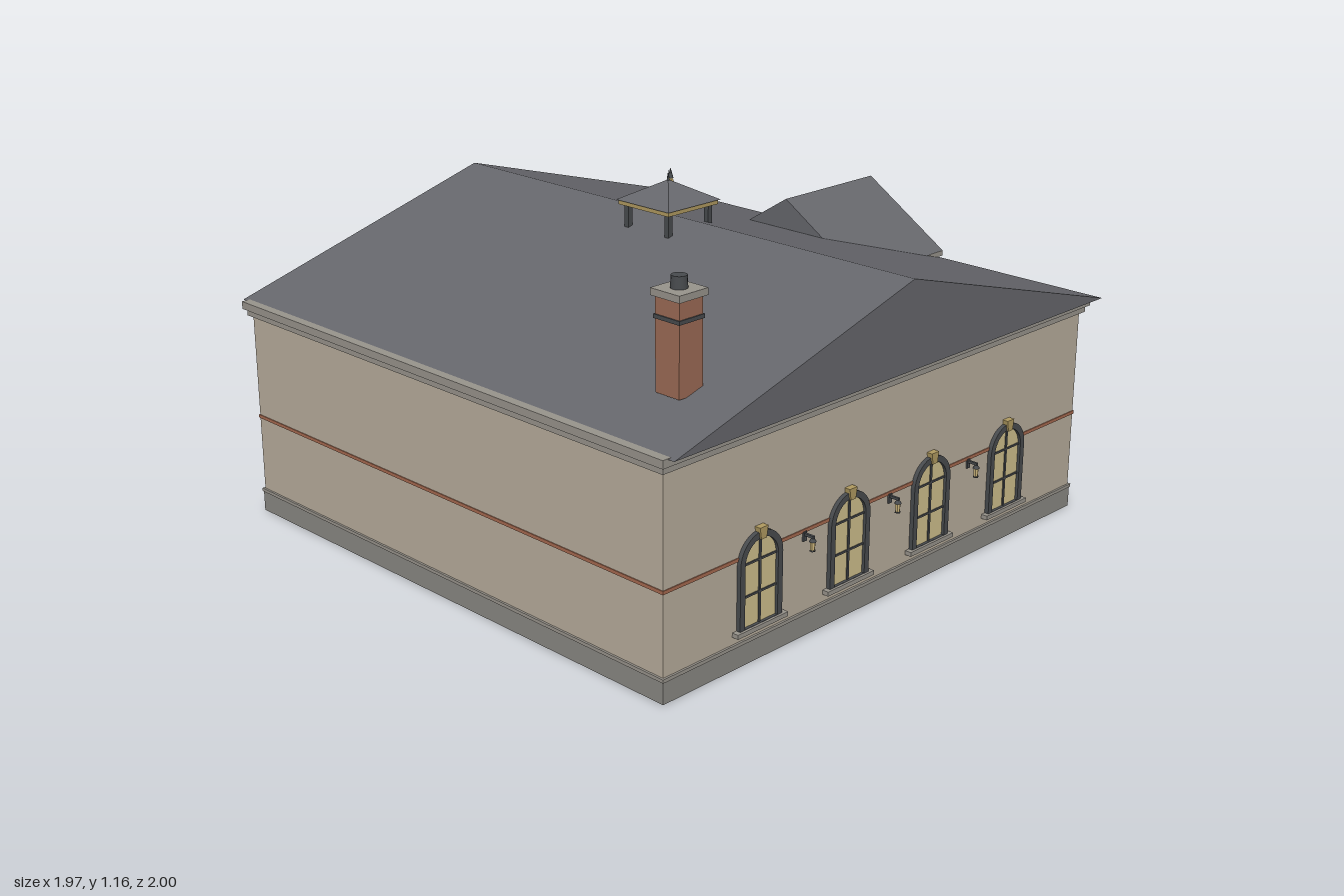
import * as THREE from 'three';

const mat = (color, flat = false) => new THREE.MeshStandardMaterial({ color, flatShading: flat });
const M = {
  wall: mat(0xb8ad9c), plinth: mat(0x8a8883), trim: mat(0x98948c), roof: mat(0x66676c, true),
  frame: mat(0x484b4e), glass: mat(0xcfbf8c), brick: mat(0x9c6b55), band: mat(0xa5694f),
  door: mat(0x4a5878), gold: mat(0xb09a60, true), lamp: mat(0xcdb67c, true),
};

function add(parent, name, geo, material, x = 0, y = 0, z = 0) {
  const m = new THREE.Mesh(geo, material);
  m.name = name;
  m.position.set(x, y, z);
  parent.add(m);
  return m;
}

// Box given by its limits on each axis
function box(parent, name, material, x0, x1, y0, y1, z0, z1) {
  return add(parent, name, new THREE.BoxGeometry(x1 - x0, y1 - y0, z1 - z0), material,
    (x0 + x1) / 2, (y0 + y1) / 2, (z0 + z1) / 2);
}

const extrude = (shape, depth) =>
  new THREE.ExtrudeGeometry(shape, { depth, bevelEnabled: false, curveSegments: 16 });

function polygon(points) {
  return new THREE.Shape(points.map(([x, y]) => new THREE.Vector2(x, y)));
}

// Round-headed outline standing on y0
function archShape(r, y0, spring) {
  const s = new THREE.Shape();
  s.moveTo(-r, y0);
  s.lineTo(r, y0);
  s.lineTo(r, spring);
  s.absarc(0, spring, r, 0, Math.PI, false);
  s.lineTo(-r, y0);
  return s;
}

function rectShape(r, y0, y1) {
  return polygon([[-r, y0], [r, y0], [r, y1], [-r, y1]]);
}

// Fittings are built facing +z with the wall surface at z = 0
function archedWindow() {
  const g = new THREE.Group();
  g.name = 'archedWindow';
  const surround = archShape(0.088, 0.0, 0.2);
  surround.holes.push(archShape(0.068, 0.005, 0.2));
  add(g, 'windowFrame', extrude(surround, 0.014), M.frame);
  add(g, 'glass', extrude(archShape(0.07, 0.0, 0.2), 0.004), M.glass);
  box(g, 'mullion', M.frame, -0.004, 0.004, 0, 0.268, 0, 0.008);
  for (const y of [0.1, 0.2]) box(g, 'glazingBar', M.frame, -0.07, 0.07, y - 0.003, y + 0.003, 0, 0.008);
  box(g, 'sill', M.trim, -0.105, 0.105, -0.01, 0.004, 0, 0.022);
  const key = polygon([[-0.011, 0.266], [0.011, 0.266], [0.017, 0.302], [-0.017, 0.302]]);
  add(g, 'keystone', extrude(key, 0.02), M.gold);
  return g;
}

function squareWindow(half) {
  const g = new THREE.Group();
  g.name = 'squareWindow';
  const surround = rectShape(half, 0, 0.2);
  surround.holes.push(rectShape(half - 0.018, 0.015, 0.185));
  add(g, 'windowFrame', extrude(surround, 0.014), M.frame);
  box(g, 'glass', M.glass, -half + 0.01, half - 0.01, 0.01, 0.19, 0, 0.004);
  box(g, 'mullion', M.frame, -0.004, 0.004, 0, 0.19, 0, 0.008);
  box(g, 'glazingBar', M.frame, -half + 0.01, half - 0.01, 0.127, 0.133, 0, 0.008);
  box(g, 'sill', M.trim, -half - 0.015, half + 0.015, -0.015, 0.002, 0, 0.022);
  box(g, 'windowHead', M.frame, -half - 0.01, half + 0.01, 0.198, 0.215, 0, 0.02);
  return g;
}

function wallLamp() {
  const g = new THREE.Group();
  g.name = 'wallLamp';
  box(g, 'backPlate', M.frame, -0.007, 0.007, 0.02, 0.05, 0, 0.006);
  box(g, 'arm', M.frame, -0.004, 0.004, 0.038, 0.046, 0, 0.038);
  add(g, 'lampCap', new THREE.CylinderGeometry(0.003, 0.012, 0.012, 6), M.frame, 0, 0.034, 0.034);
  add(g, 'lantern', new THREE.CylinderGeometry(0.009, 0.007, 0.026, 6), M.lamp, 0, 0.015, 0.034);
  add(g, 'lampBase', new THREE.CylinderGeometry(0.009, 0.009, 0.004, 6), M.frame, 0, 0, 0.034);
  return g;
}

function entrance() {
  const g = new THREE.Group();
  g.name = 'entrance';
  const surround = rectShape(0.18, 0.015, 0.275);
  surround.holes.push(rectShape(0.157, 0.016, 0.25));
  add(g, 'doorFrame', extrude(surround, 0.02), M.frame);
  box(g, 'doorLeaves', M.door, -0.16, 0.16, 0.015, 0.255, 0, 0.01);
  for (const x of [-0.08, 0, 0.08])
    box(g, 'doorStile', M.frame, x - 0.004, x + 0.004, 0.015, 0.255, 0, 0.014);
  for (const y of [0.09, 0.2]) box(g, 'doorRail', M.frame, -0.16, 0.16, y - 0.003, y + 0.003, 0, 0.014);
  for (const x of [-0.016, 0.016]) box(g, 'doorHandle', M.gold, x - 0.004, x + 0.004, 0.11, 0.15, 0, 0.02);
  box(g, 'doorHead', M.trim, -0.195, 0.195, 0.272, 0.29, 0, 0.025);
  box(g, 'canopy', M.frame, -0.2, 0.2, 0.322, 0.344, 0, 0.022);
  box(g, 'doorStep', M.trim, -0.2, 0.2, 0, 0.016, 0, 0.045);
  return g;
}

export function createModel() {
  const model = new THREE.Group();
  model.name = 'station';
  const W = 0.937, F = 0.976, B = -0.937;

  // Walls, plinth, brick band and stepped cornice
  const ring = (name, m, y0, y1, o) => box(model, name, m, -W - o, W + o, y0, y1, B - o, F + o);
  ring('walls', M.wall, 0.06, 0.7, 0);
  ring('plinth', M.plinth, 0, 0.07, 0.004);
  ring('plinthCap', M.trim, 0.068, 0.079, 0.007);
  ring('brickBand', M.band, 0.33, 0.341, 0.003);
  ring('lowerCornice', M.trim, 0.684, 0.708, 0.013);
  ring('upperCornice', M.trim, 0.706, 0.731, 0.024);

  // Gabled main roof, ridge running from side to side
  const roofGeo = extrude(polygon([[-0.98, 0.728], [0.995, 0.728], [0.005, 1.01]]), 1.966);
  roofGeo.rotateY(Math.PI / 2);
  add(model, 'mainRoof', roofGeo, M.roof, -0.983, 0, 0);

  // Cross gable over the entrance
  const gable = polygon([[-0.33, 0.752], [0.33, 0.752], [0, 0.96]]);
  add(model, 'crossGable', extrude(gable, 0.45), M.roof, 0, 0, -1);
  box(model, 'gableSill', M.trim, -0.33, 0.33, 0.735, 0.753, -0.998, -0.93);
  box(model, 'gableOrnament', M.gold, -0.04, 0.04, 0.728, 0.75, -1, -0.96);

  // Open ridge turret
  const turret = new THREE.Group();
  turret.name = 'ridgeTurret';
  turret.position.z = 0.015;
  model.add(turret);
  for (const x of [-0.09, 0.09]) for (const z of [-0.09, 0.09])
    box(turret, 'turretPost', M.frame, x - 0.009, x + 0.009, 0.97, 1.055, z - 0.009, z + 0.009);
  box(turret, 'turretEaves', M.gold, -0.112, 0.112, 1.05, 1.066, -0.112, 0.112);
  const cap = new THREE.ConeGeometry(0.118 * Math.SQRT2, 0.066, 4);
  cap.rotateY(Math.PI / 4);
  add(turret, 'turretRoof', cap, M.roof, 0, 1.098, 0);
  add(turret, 'turretSpike', new THREE.ConeGeometry(0.006, 0.04, 8), M.frame, 0, 1.142, 0);

  // Brick chimney
  const chimney = new THREE.Group();
  chimney.name = 'chimney';
  chimney.position.set(0.752, 0, 0.728);
  model.add(chimney);
  const stack = (name, m, r, y0, y1) => box(chimney, name, m, -r, r, y0, y1, -r, r);
  stack('chimneyStack', M.brick, 0.046, 0.795, 1.08);
  stack('chimneyBand', M.frame, 0.05, 1.01, 1.022);
  stack('chimneyCap', M.trim, 0.056, 1.075, 1.096);
  add(chimney, 'chimneyPot', new THREE.CylinderGeometry(0.023, 0.025, 0.04, 16), M.frame, 0, 1.113, 0);

  // Corner roof finial
  add(model, 'roofFinial', new THREE.ConeGeometry(0.036, 0.09, 6), M.gold, -0.87, 0.795, -0.87);
  add(model, 'finialTip', new THREE.ConeGeometry(0.012, 0.04, 6), M.frame, -0.87, 0.84, -0.87);

  // Side walls: four arched windows with lamps between them
  for (const s of [1, -1]) {
    const placeSide = (part, y, z) => {
      part.position.set(s * W, y, z);
      part.rotation.y = s * Math.PI / 2;
      model.add(part);
    };
    for (let i = 0; i < 4; i++) placeSide(archedWindow(), 0.113, 0.597 - i * 0.386);
    for (let i = 0; i < 3; i++) placeSide(wallLamp(), 0.284, 0.405 - i * 0.386);
  }

  // Back wall: entrance, square windows below and arched windows above
  const placeBack = (part, x, y) => {
    part.position.set(x, y, B);
    part.rotation.y = Math.PI;
    model.add(part);
  };
  placeBack(entrance(), 0, 0);
  for (const s of [1, -1]) {
    placeBack(squareWindow(0.095), s * 0.67, 0.105);
    placeBack(squareWindow(0.08), s * 0.385, 0.105);
    placeBack(archedWindow(), s * 0.665, 0.375);
    placeBack(wallLamp(), s * 0.235, 0.284);
  }
  return model;
}
